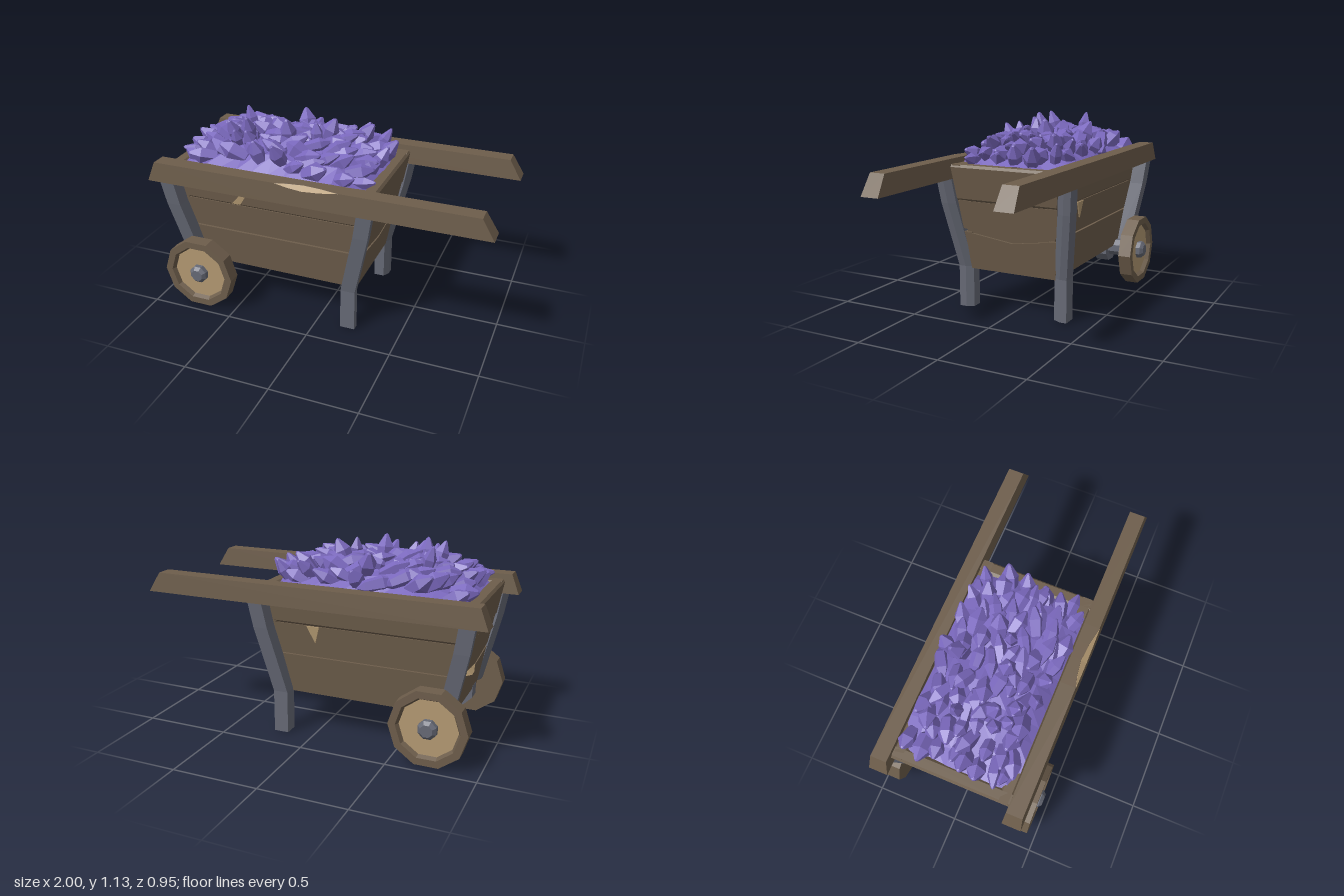
import * as THREE from 'three';
import { mergeGeometries } from 'three/addons/utils/BufferGeometryUtils.js';

const CX = -0.29; // centre of the tray along x
const halfX = (y) => 0.51 + (y - 0.24) * 0.18;
const halfZ = (y) => 0.275 + (y - 0.24) * 0.1;

function flat(geometry) {
  const g = geometry.index ? geometry.toNonIndexed() : geometry;
  g.computeVertexNormals();
  return g;
}

// Skin over a row of equal rings, each counter-clockwise seen from the last one, with capped ends
function loft(rings) {
  const n = rings[0].length, last = (rings.length - 1) * n, idx = [];
  for (let o = 0; o < last; o += n) {
    for (let i = 0; i < n; i++) {
      const j = (i + 1) % n;
      idx.push(o + i, o + j, o + n + j, o + i, o + n + j, o + n + i);
    }
  }
  for (let i = 1; i < n - 1; i++) idx.push(0, i + 1, i, last, last + i, last + i + 1);
  const g = new THREE.BufferGeometry();
  g.setAttribute('position', new THREE.Float32BufferAttribute(rings.flat(2), 3));
  g.setIndex(idx);
  return flat(g);
}

// Board laid on one sloping tray wall; outline is [-1..1 along the wall, y]
function board(side, outline, inner, outer, bevel = 0) {
  const shape = new THREE.Shape(outline.map(([u, y]) => new THREE.Vector2(u, y)));
  const g = new THREE.ExtrudeGeometry(shape, {
    depth: outer - inner - bevel, bevelEnabled: bevel > 0, bevelSize: bevel,
    bevelOffset: -bevel, bevelThickness: bevel, bevelSegments: 1,
  });
  const p = g.attributes.position;
  for (let i = 0; i < p.count; i++) {
    const u = p.getX(i), y = p.getY(i), d = p.getZ(i) + inner;
    const hx = halfX(y), hz = halfZ(y);
    if (side === 'front') p.setXYZ(i, CX + u * hx, y, hz + d);
    if (side === 'back') p.setXYZ(i, CX - u * hx, y, -hz - d);
    if (side === 'handleEnd') p.setXYZ(i, CX + hx + d, y, -u * hz);
    if (side === 'wheelEnd') p.setXYZ(i, CX - hx - d, y, u * hz);
  }
  return flat(g);
}

function lathe(points, sides, start = 0) {
  return flat(new THREE.LatheGeometry(points.map(([r, y]) => new THREE.Vector2(r, y)), sides, start));
}

export function createModel() {
  const group = new THREE.Group();
  const material = (name, color) => Object.assign(new THREE.MeshStandardMaterial({ color }), { name });
  const wood = material('brown wood', 0x6d5d4b);
  const paleWood = material('pale wood', 0xb39972);
  const metal = material('grey metal', 0x666975);
  const purple = material('purple crystal', 0x7a68bd);
  const add = (name, geometry, mat) => {
    const mesh = new THREE.Mesh(geometry, mat);
    mesh.name = name;
    group.add(mesh);
    return mesh;
  };

  // Tray: solid core with three courses of boards on each wall
  add('trayCore', loft([0.237, 0.85].map((y) => {
    const hx = halfX(y) - 0.015, hz = halfZ(y) - 0.015;
    return [[CX - hx, y, hz], [CX + hx, y, hz], [CX + hx, y, -hz], [CX - hx, y, -hz]];
  })), wood);
  const rect = (y0, y1, u) => [[-u, y0], [u, y0], [u, y1], [-u, y1]];
  for (const side of ['front', 'back', 'handleEnd', 'wheelEnd']) {
    const end = side.endsWith('End');
    const lower = end ? [[-1, 0.237], [1, 0.237], [1, 0.468], [0.05, 0.425], [-1, 0.468]] : rect(0.237, 0.468, 0.99);
    const middle = end ? [[-1, 0.488], [0.05, 0.442], [1, 0.488], [1, 0.657], [-1, 0.657]] : rect(0.488, 0.657, 0.99);
    add(side + 'LowerBoard', board(side, lower, -0.05, 0), wood);
    add(side + 'MiddleBoard', board(side, middle, -0.05, 0), wood);
    add(side + 'UpperBoard', board(side, rect(0.655, 0.87, end ? 1.015 : 0.995), -0.06, 0.006, 0.015), wood);
  }

  // Splintered patches
  add('frontSplinter', board('front', [[-0.17, 0.79], [-0.22, 0.785], [-0.4, 0.67], [-0.31, 0.67]], 0.005, 0.011), paleWood);
  add('backSplinter', board('back', [[-0.56, 0.657], [-0.49, 0.56], [-0.43, 0.657]], 0.002, 0.01), paleWood);
  add('endSplinter', loft([[-0.18, 0.1], [-0.12, 1], [-0.06, 0.9], [0.02, 0.1]].map(([z, c]) => {
    const x = CX - halfX(0.45);
    return [[x - 0.022 * c, 0.445 - 0.012 * c, z], [x + 0.03, 0.435, z], [x + 0.01, 0.45 + 0.015 * c, z]];
  })), paleWood);

  // Long handles; the front one has a splintered notch along its top edge
  const notch = [[-0.2, 0], [-0.13, 0.6], [-0.04, 1], [0.06, 0.7], [0.17, 0]];
  const notchEdges = (x, c, z) => [[x, 0.9 - 0.022 * c, z + 0.045 + 0.0016 * c], [x, 0.9, z + 0.045 - 0.03 * c]];
  const handleEnd = (xLow, xTop, z) => [
    [xLow, 0.785, z + 0.054], [xLow, 0.785, z - 0.054], [xTop, 0.9, z - 0.046],
    [xTop, 0.9, z + 0.0449], [xTop, 0.9, z + 0.045],
  ];
  const handleRing = (x, c, z) => {
    const [front, top] = notchEdges(x, c, z);
    return [[x, 0.785, z + 0.054], [x, 0.785, z - 0.054], [x, 0.9, z - 0.046], top, front];
  };
  for (const [name, z, cuts] of [['frontHandle', 0.385, notch], ['backHandle', -0.382, []]]) {
    add(name, loft([
      handleEnd(-1, -0.955, z), ...cuts.map(([x, c]) => handleRing(x, c, z)), handleEnd(1, 0.93, z),
    ]), wood);
  }
  add('handleSplinter', loft(notch.map(([x, c]) => {
    const [front, top] = notchEdges(x, c, 0.387);
    return [front, [x, 0.88, 0.388], top];
  })), paleWood);

  // Bent corner legs with a bevelled inner edge; the pair by the wheels stops at the tray floor
  const legPath = [[0, 0.485, 0.308], [0.25, 0.485, 0.308], [0.64, 0.575, 0.366], [0.8, 0.602, 0.382]];
  const legSection = [[-0.043, 0.043], [0.043, 0.043], [0.043, 0], [0.02, -0.043], [-0.043, -0.043]];
  for (const sx of [1, -1]) for (const sz of [1, -1]) {
    const path = sx > 0 ? legPath : legPath.slice(1);
    add(sx > 0 ? 'standingLeg' : 'cornerBrace', loft(path.map(([y, dx, dz]) => {
      const ring = legSection.map(([x, z]) => [CX + sx * (dx + x), y, sz * (dz + z)]);
      return sx * sz > 0 ? ring : ring.reverse();
    })), metal);
  }

  // Axle with two collars
  const running = new THREE.Group();
  running.name = 'wheelSet';
  running.position.set(-0.715, 0.22, 0);
  group.add(running);
  const addRunning = (name, geometry, mat, s = 1) => {
    const mesh = add(name, geometry, mat);
    mesh.rotation.x = s * Math.PI / 2;
    running.add(mesh);
  };
  addRunning('axle', lathe([[0, -0.475], [0.036, -0.475], [0.055, -0.457], [0.055, 0.457], [0.036, 0.475], [0, 0.475]],
    8, Math.PI / 8), metal);
  for (const s of [1, -1]) {
    addRunning('axleCollar', lathe([[0, 0.155], [0.096, 0.155], [0.096, 0.24], [0, 0.24]], 8, Math.PI / 8), metal, s);
    // Ten-sided wheels with a recessed pale face
    addRunning('wheelRim', lathe([[0, 0.375], [0.22, 0.375], [0.22, 0.455], [0.178, 0.455], [0.165, 0.43]],
      10, Math.PI / 10), wood, s);
    addRunning('wheelFace', lathe([[0.166, 0.43], [0, 0.43]], 10, Math.PI / 10), paleWood, s);
  }

  // Crystal heap: a bumpy mound covered with chunky crystals, most of them lying lengthwise
  let seed = 23;
  const rnd = () => (seed = (seed * 16807) % 2147483647) / 2147483647;
  const spread = () => rnd() * 2 - 1;
  const heap = (u, v) => 0.865 + 0.13 * (1 - u ** 4) * (1 - 0.7 * Math.abs(v) ** 3);
  const mound = new THREE.PlaneGeometry(1.14, 0.66, 12, 7).rotateX(-Math.PI / 2);
  const mp = mound.attributes.position;
  for (let i = 0; i < mp.count; i++) {
    mp.setY(i, heap(mp.getX(i) / 0.57, mp.getZ(i) / 0.33) - 0.01 + spread() * 0.02);
    mp.setX(i, mp.getX(i) + CX);
  }
  add('crystalMound', flat(mound), purple);

  const crystals = [], up = new THREE.Vector3(0, 1, 0);
  const cols = 11, rows = 8;
  for (let i = 0; i < cols; i++) for (let j = 0; j < rows; j++) {
    const u = ((i + 0.5 + spread() * 0.45) / cols) * 2 - 1;
    const v = ((j + 0.5 + spread() * 0.45) / rows) * 2 - 1;
    const tall = rnd() < 0.25;
    const r = 0.036 + rnd() * 0.02, len = 0.15 + rnd() * 0.08;
    const g = lathe([[0, -len / 2], [r * 0.8, -len * 0.3], [r, len * 0.15], [r * 0.25, len * 0.46], [0, len / 2]],
      5 + Math.floor(rnd() * 2), rnd() * 6);
    const dir = tall
      ? new THREE.Vector3(u * 0.7 + spread() * 0.35, 1, v * 0.5 + spread() * 0.25)
      : new THREE.Vector3(u < spread() * 0.6 ? -1 : 1, 0.1 + rnd() * 0.6, spread() * 0.6);
    g.applyQuaternion(new THREE.Quaternion().setFromUnitVectors(up, dir.normalize()));
    g.translate(CX + u * 0.55, heap(u, v) + (tall ? 0.03 : 0.01), v * 0.3);
    crystals.push(g);
  }
  add('crystals', mergeGeometries(crystals), purple);

  return group;
}
